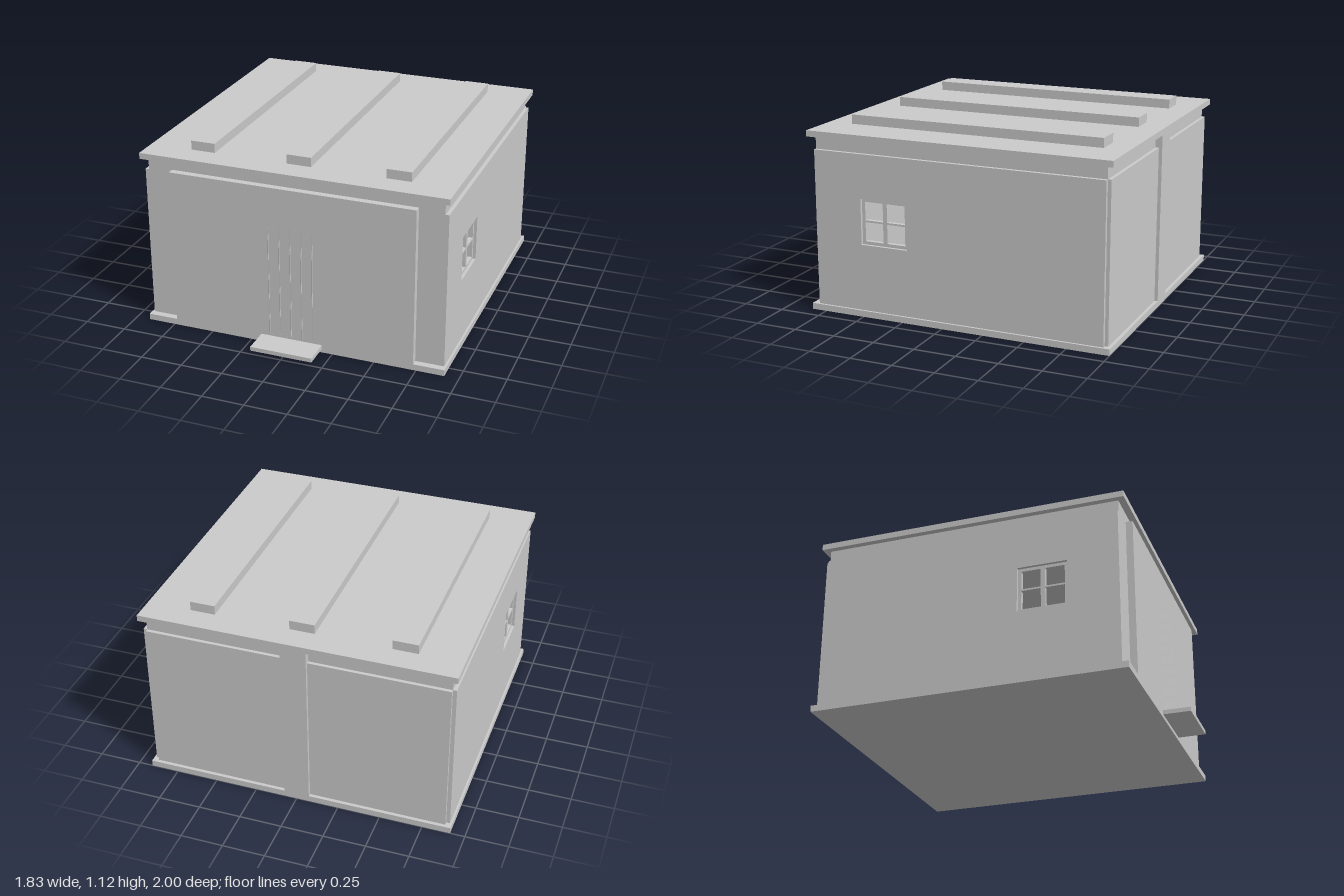
import * as THREE from 'three';

const material = new THREE.MeshStandardMaterial({ color: 0xcccccc, flatShading: true });

export function createModel() {
  const model = new THREE.Group();
  model.name = 'building';

  const add = (name, geometry) => {
    const mesh = new THREE.Mesh(geometry, material);
    mesh.name = name;
    model.add(mesh);
    return mesh;
  };

  // Box given by its limits on each axis
  const block = (name, x0, x1, y0, y1, z0, z1) => {
    const mesh = add(name, new THREE.BoxGeometry(x1 - x0, y1 - y0, z1 - z0));
    mesh.position.set((x0 + x1) / 2, (y0 + y1) / 2, (z0 + z1) / 2);
    return mesh;
  };

  // Upright plate across x, drawn in z and y, with rectangular openings [z0, z1, y0, y1]
  const trace = (path, [z0, z1, y0, y1]) =>
    path.moveTo(-z0, y0).lineTo(-z0, y1).lineTo(-z1, y1).lineTo(-z1, y0).closePath();
  const plate = (name, x0, x1, outline, openings) => {
    const shape = trace(new THREE.Shape(), outline);
    openings.forEach((o) => shape.holes.push(trace(new THREE.Path(), o)));
    const geometry = new THREE.ExtrudeGeometry(shape, { depth: x1 - x0, bevelEnabled: false });
    geometry.rotateY(Math.PI / 2);
    geometry.translate(x0, 0, 0);
    add(name, geometry);
  };

  // Floor slab, roof slab and front step
  block('baseSlab', -0.915, 0.915, 0, 0.037, -1, 0.84);
  block('roofSlab', -0.915, 0.915, 1.034, 1.07, -1, 0.84);
  block('frontStep', -0.187, 0.187, 0.022, 0.047, 0.8, 1);

  // Roof beams
  for (const x of [-0.587, -0.002, 0.583]) {
    block('roofBeam', x - 0.073, x + 0.073, 1.07, 1.125, -0.855, 0.69);
  }

  // Front and back walls, with the raised front panel
  block('frontWall', -0.88, 0.88, 0.037, 1.034, 0.76, 0.8);
  block('backWall', -0.88, 0.88, 0.037, 1.034, -0.96, -0.92);
  block('frontPanel', -0.733, 0.733, 0.03, 0.978, 0.8, 0.84);

  // Back cladding on either side of a central pillar
  block('backPillar', -0.075, 0.075, 0.037, 1.034, -1, -0.96);
  block('backPanel', -0.88, -0.075, 0.037, 0.96, -0.98, -0.96);
  block('backPanel', 0.075, 0.88, 0.037, 0.96, -0.98, -0.96);

  // Side walls, cladding and four-pane windows
  const opening = [0.215, 0.507, 0.43, 0.70];
  const panes = [];
  for (const [z0, z1] of [[0.235, 0.348], [0.374, 0.487]]) {
    panes.push([z0, z1, 0.449, 0.562], [z0, z1, 0.573, 0.682]);
  }
  for (const side of [-1, 1]) {
    const span = (name, a, b, outline, holes) =>
      plate(name, Math.min(side * a, side * b), Math.max(side * a, side * b), outline, holes);
    span('sideWall', 0.84, 0.88, [-0.92, 0.76, 0.037, 1.034], [opening]);
    span('sidePanel', 0.88, 0.902, [-0.96, 0.8, 0.037, 0.96], [opening]);
    span('windowFrame', 0.86, 0.885, opening, panes);
  }

  // Slim upright bars on the front panel
  for (let i = -2; i <= 2; i++) {
    const top = Math.abs(i) === 2 ? 0.73 : 0.755;
    const bar = add('doorBar', new THREE.CylinderGeometry(0.004, 0.004, top - 0.065, 8));
    bar.position.set(i * 0.066, (top + 0.065) / 2, 0.838);
  }

  return model;
}
